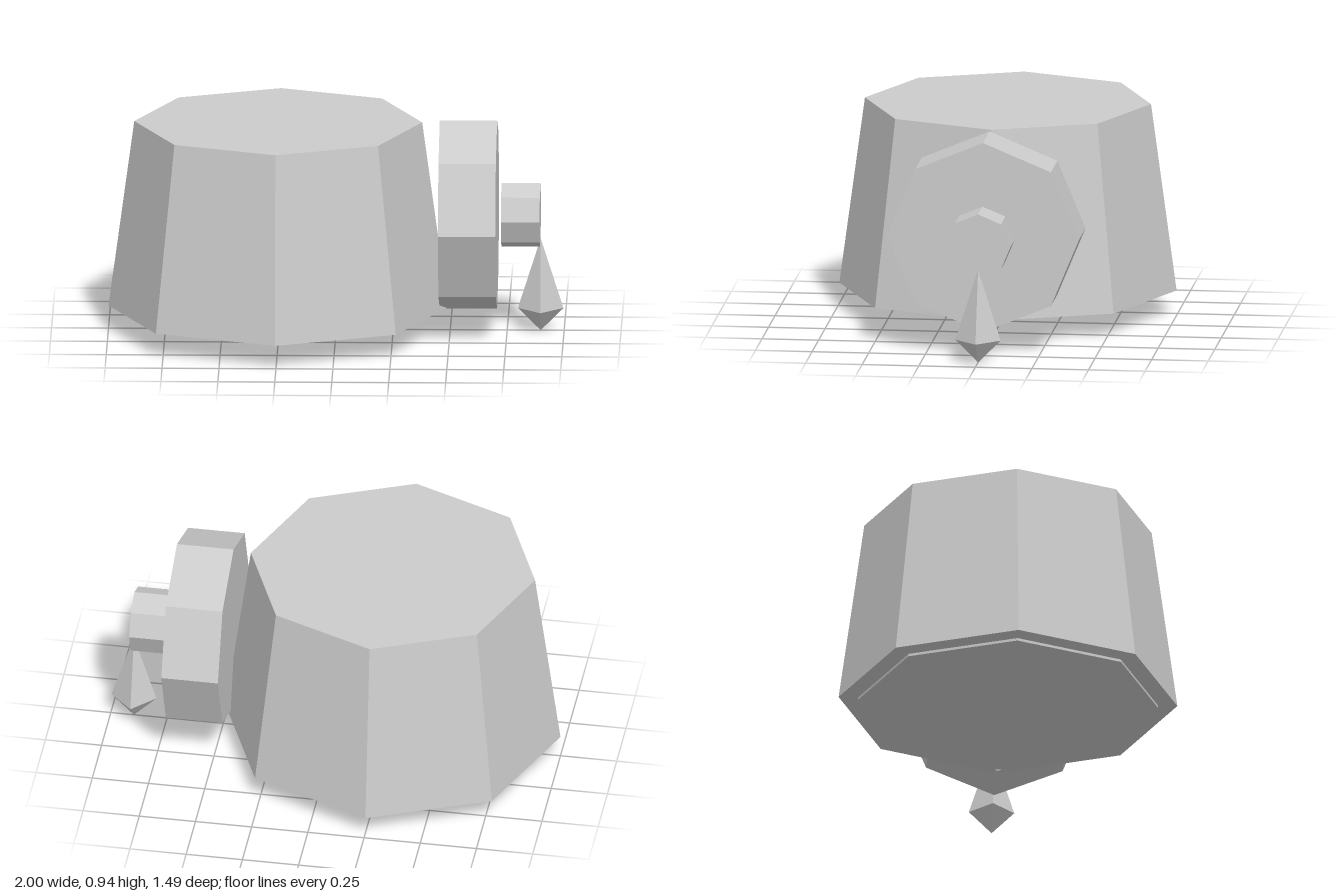
import * as THREE from 'three';

const material = new THREE.MeshStandardMaterial({ color: 0xcccccc, flatShading: true });

function addPart(group, name, geometry, x, y) {
  const mesh = new THREE.Mesh(geometry, material);
  mesh.name = name;
  mesh.position.set(x, y, 0);
  group.add(mesh);
}

// Eight-sided drum: bottom and top radius, height
const drum = (bottom, top, height) => new THREE.CylinderGeometry(top, bottom, height, 8);

// Eight-sided disc lying along x, one corner pointing up
const sideDisc = (radius, width) =>
  drum(radius, radius, width).rotateZ(-Math.PI / 2);

export function createModel() {
  const model = new THREE.Group();
  model.name = 'model';

  // Tapered body with a thin plate beneath it
  addPart(model, 'body', drum(0.745, 0.632, 0.833), -0.255, 0.5185);
  addPart(model, 'basePlate', drum(0.66, 0.66, 0.04), -0.255, 0.11);

  // Large wheel and small knob on the left side
  addPart(model, 'wheel', sideDisc(0.424, 0.252), 0.58, 0.52);
  addPart(model, 'knob', sideDisc(0.143, 0.17), 0.81, 0.52);

  // Four-sided drop hanging from the knob
  const profile = [[0, 0], [0.1, 0.1], [0, 0.415]].map(([r, y]) => new THREE.Vector2(r, y));
  addPart(model, 'pendant', new THREE.LatheGeometry(profile, 4), 0.897, 0);

  return model;
}
